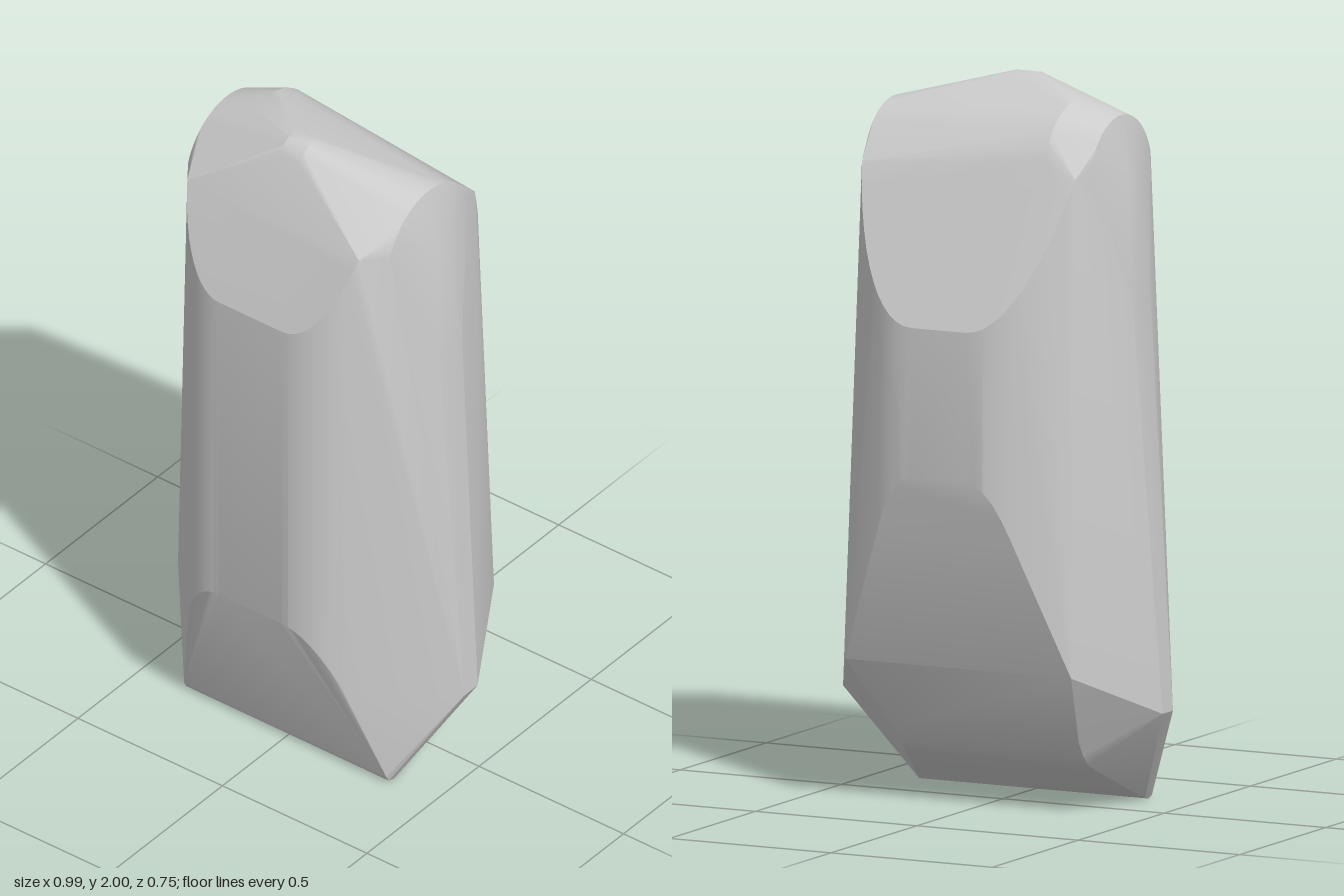
import * as THREE from 'three';
import { ConvexGeometry } from 'three/addons/geometries/ConvexGeometry.js';
import { toCreasedNormals } from 'three/addons/utils/BufferGeometryUtils.js';

export function createModel() {
  const points = [];
  const add = (x, y, z) => points.push(new THREE.Vector3(x, y, z));
  const pair = (x, y, z) => { add(x, y, z); add(-x, y, z); };

  // rounded section across the thickness, in a plane of constant x
  const arc = (x, y, z, r, from, to, steps) => {
    for (let i = 0; i <= steps; i++) {
      const a = from + (to - from) * i / steps;
      add(x, y + r * Math.sin(a), z + r * Math.cos(a));
    }
  };

  // upright rounded front and back, cut by sloping planes at both ends
  const N = 12;
  for (let i = 0; i <= N; i++) {
    const a = 1.05 * i / N;
    // front
    const zf = 0.375 - 0.2 * (1 - Math.cos(a));
    const xf = 0.11 + 0.215 * Math.sin(a);
    pair(xf, 1.53 + (0.375 - zf) * 2.7, zf);
    pair(xf, 0.53 - (0.375 - zf) * 2.95, zf);
    // back
    const zb = 0.375 - 0.35 * (1 - Math.cos(a));
    const xb = 0.085 + 0.283 * Math.sin(a);
    pair(xb, 1.355 + (0.375 - zb) * 2.37, -zb);
    if (zb > 0.335) pair(xb, 0.94 - (0.375 - zb) * 4.7, -zb);
  }

  // rounded shoulders, and the crown between them
  for (const x of [-0.35, 0.35]) arc(x, 1.74, 0.03, 0.18, 0.3, Math.PI - 0.1, 20);
  arc(-0.23, 1.74, 0.02, 0.222, 0.9, Math.PI - 0.35, 16);
  for (const x of [-0.04, 0.03]) arc(x, 1.93, 0.13, 0.07, 0.2, 1.9, 8);

  // side ridges
  for (const z of [0, 0.06]) pair(0.495, 0.275, z);
  for (const z of [-0.03, 0.075]) pair(0.418, 1.42, z);
  for (const z of [0, 0.05]) pair(0.39, 1.765, z);

  // lower back corners and toe edge
  pair(0.35, 0.4, -0.26);
  for (const [y, z] of [[0.025, 0.22], [0.007, 0.21], [0, 0.19], [0.004, 0.17]]) pair(0.35, y, z);

  // rounded heel underneath
  for (const [y, z] of [[0.115, -0.07], [0.135, -0.105], [0.165, -0.135], [0.205, -0.16]]) {
    add(0.25, y, z);
    add(-0.32, y, z);
  }

  const geometry = toCreasedNormals(new ConvexGeometry(points), 0.3);
  const body = new THREE.Mesh(geometry, new THREE.MeshStandardMaterial({ color: 0xcccccc }));
  body.name = 'body';
  const group = new THREE.Group();
  group.name = 'facetedBlock';
  group.add(body);
  return group;
}
